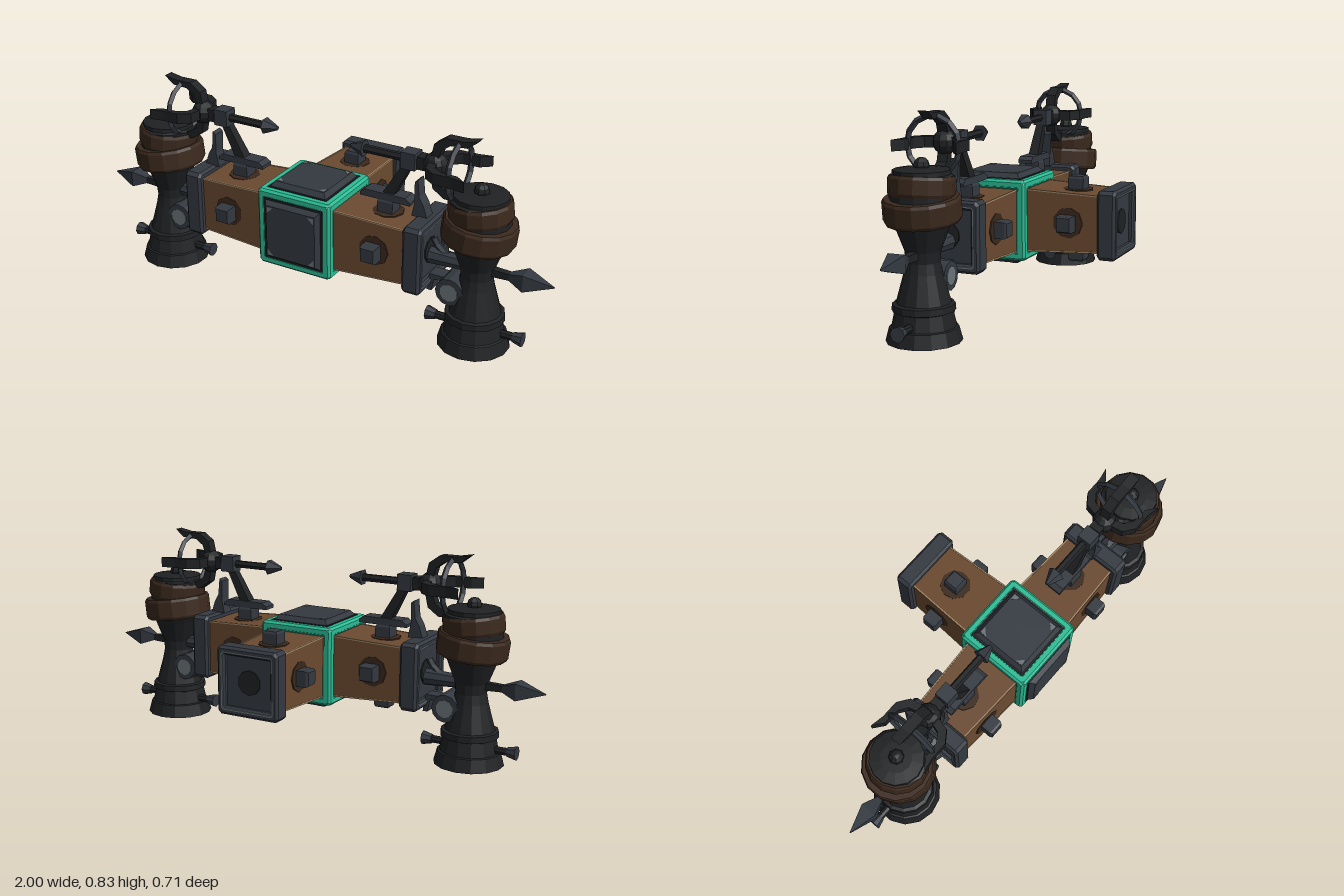
import * as THREE from 'three';

const mat = (name, color) => {
  const m = new THREE.MeshStandardMaterial({ color, flatShading: true });
  m.name = name;
  return m;
};
const wood = mat('wood', 0x6b4a30);
const darkWood = mat('dark wood', 0x3b291d);
const paleWood = mat('worn wood edge', 0xa58a68);
const iron = mat('black iron', 0x1f2123);
const slate = mat('slate metal', 0x343941);
const steel = mat('worn steel', 0x6b7478);
const teal = mat('teal paint', 0x2bbd95);

const V = (x, y, z) => new THREE.Vector3(x, y, z);

function add(parent, name, geo, material, x = 0, y = 0, z = 0) {
  const m = new THREE.Mesh(geo, material);
  m.name = name;
  m.position.set(x, y, z);
  parent.add(m);
  return m;
}

// Straight bar between two points, with its own radius at each end
function bar(parent, name, a, b, ra, rb, sides, material) {
  const g = new THREE.CylinderGeometry(rb, ra, a.distanceTo(b), sides);
  if (sides === 4) g.rotateY(Math.PI / 4);
  const m = add(parent, name, g, material);
  m.position.copy(a).lerp(b, 0.5);
  m.quaternion.setFromUnitVectors(V(0, 1, 0), b.clone().sub(a).normalize());
  return m;
}

// Square frustum along +z, from half size h0 at z0 to h1 at z1
function frustum(h0, h1, z0, z1) {
  const g = new THREE.CylinderGeometry(h1 * Math.SQRT2, h0 * Math.SQRT2, z1 - z0, 4);
  return g.rotateY(Math.PI / 4).rotateX(Math.PI / 2).translate(0, 0, (z0 + z1) / 2);
}

function square(h, c = 0) {
  const p = [[-h + c, -h], [h - c, -h], [h, -h + c], [h, h - c], [h - c, h], [-h + c, h], [-h, h - c], [-h, -h + c]];
  return p.map(([x, y]) => new THREE.Vector2(x, y));
}

// Square frame with a square hole and a chamfered rim, along +z
function frame(outer, inner, depth, bevel) {
  const s = new THREE.Shape(square(outer - bevel, 0.008));
  s.holes.push(new THREE.Path(square(inner + bevel, 0.004).reverse()));
  return new THREE.ExtrudeGeometry(s, {
    depth: depth - 2 * bevel, bevelEnabled: bevel > 0, bevelSize: bevel, bevelThickness: bevel, bevelSegments: 1,
  }).translate(0, 0, bevel);
}

// Slab cut from an outline in the xy plane, centred on z
function slab(points, depth) {
  const s = new THREE.Shape(points.map(([x, y]) => new THREE.Vector2(x, y)));
  return new THREE.ExtrudeGeometry(s, { depth, bevelEnabled: false }).translate(0, 0, -depth / 2);
}

const lathe = (pts, sides) => new THREE.LatheGeometry(pts.map(([r, y]) => new THREE.Vector2(r, y)), sides);

// Raised plate with worn corners on a face of the hub
function hubPlate() {
  const g = new THREE.Group();
  g.name = 'hubPlate';
  add(g, 'plateSeat', frustum(0.134, 0.13, 0.15, 0.163), iron);
  add(g, 'plate', frustum(0.125, 0.108, 0.16, 0.182), slate);
  for (let i = 0; i < 4; i++) {
    const c = add(g, 'plateCorner', slab([[0.104, 0.104], [0.076, 0.104], [0.104, 0.076]], 0.004), steel, 0, 0, 0.182);
    c.rotation.z = i * Math.PI / 2;
  }
  return g;
}

// Wooden arm along +z with pegs and an open metal end cap
function woodArm() {
  const g = new THREE.Group();
  g.name = 'arm';
  add(g, 'beam', frustum(0.126, 0.112, 0.13, 0.46), wood);
  for (let i = 0; i < 4; i++) {
    const side = new THREE.Group();
    side.name = 'beamSide';
    side.rotation.z = i * Math.PI / 2;
    g.add(side);
    bar(side, 'wornEdge', V(0.124, 0.124, 0.15), V(0.111, 0.111, 0.455), 0.004, 0.004, 4, paleWood);
    add(side, 'pegStain', new THREE.CylinderGeometry(0.062, 0.062, 0.008, 9), darkWood, 0, 0.1165, 0.327);
    add(side, 'pegBase', new THREE.BoxGeometry(0.064, 0.05, 0.064), slate, 0, 0.138, 0.327);
    const top = add(side, 'pegTop', frustum(0.032, 0.027, 0, 0.009), slate, 0, 0.163, 0.327);
    top.rotation.x = -Math.PI / 2;
  }
  add(g, 'capFrame', frame(0.137, 0.102, 0.075, 0.01), slate, 0, 0, 0.452);
  add(g, 'capRim', frame(0.116, 0.11, 0.004, 0), steel, 0, 0, 0.525);
  add(g, 'capPanel', new THREE.BoxGeometry(0.215, 0.215, 0.04), slate, 0, 0, 0.485);
  const socket = add(g, 'capSocket', new THREE.CylinderGeometry(0.05, 0.05, 0.008, 10), iron, 0, 0, 0.506);
  socket.rotation.x = Math.PI / 2;
  return g;
}

// Banded post standing at the end of a side arm
function post() {
  const g = new THREE.Group();
  g.name = 'post';
  g.position.x = 0.7;
  add(g, 'postBody', lathe([
    [0, 0.025], [0.08, 0.025], [0.09, 0], [0.14, 0], [0.126, 0.052], [0.118, 0.055], [0.106, 0.11],
    [0.116, 0.114], [0.114, 0.138], [0.1, 0.142], [0.07, 0.25], [0.062, 0.29], [0.066, 0.33], [0.1, 0.42],
    [0.118, 0.46], [0.115, 0.6], [0.105, 0.606], [0.104, 0.622], [0.06, 0.628], [0, 0.63],
  ], 14), iron);
  const band = (name, y, r, h, tilt) => {
    const geo = lathe([[r - 0.03, -h / 2], [r - 0.006, -h / 2], [r, -h / 2 + 0.012],
      [r, h / 2 - 0.012], [r - 0.006, h / 2], [r - 0.03, h / 2]], 14);
    add(g, name, geo, darkWood, 0, y, 0).rotation.z = tilt;
  };
  band('lowerBand', 0.482, 0.142, 0.09, -0.12);
  band('upperBand', 0.563, 0.122, 0.075, 0.1);
  add(g, 'topKnob', new THREE.SphereGeometry(0.03, 8, 6), iron, 0, 0.636, 0);
  for (const s of [-1, 1]) {
    bar(g, 'footPin', V(s * 0.09, 0.07, 0), V(s * 0.165, 0.07, 0), 0.016, 0.016, 8, iron);
    bar(g, 'footPinHead', V(s * 0.158, 0.07, 0), V(s * 0.197, 0.07, 0), 0.019, 0.029, 8, slate);
  }
  // Cross drum with a pale disc at each end
  bar(g, 'drum', V(-0.08, 0.225, -0.07), V(-0.08, 0.225, 0.07), 0.056, 0.056, 12, slate);
  bar(g, 'drumDisc', V(-0.08, 0.225, -0.073), V(-0.08, 0.225, 0.073), 0.036, 0.036, 10, steel);
  // Outer spike
  bar(g, 'spikeStem', V(0.05, 0.322, 0), V(0.14, 0.322, 0), 0.022, 0.018, 4, iron);
  bar(g, 'spikeRoot', V(0.12, 0.322, 0), V(0.19, 0.322, 0), 0.014, 0.048, 4, slate);
  bar(g, 'spikeTip', V(0.19, 0.322, 0), V(0.3, 0.322, 0), 0.048, 0.002, 4, slate);
  return g;
}

// Bolt thrower: rod, clawed hoop and leaning stand
function launcher() {
  const g = new THREE.Group();
  g.name = 'launcher';
  const y = 0.697;
  bar(g, 'rod', V(0.21, y, 0), V(0.5, y, 0), 0.016, 0.016, 6, iron);
  bar(g, 'rodTip', V(0.222, y, 0), V(0.163, y, 0), 0.034, 0.008, 6, slate);
  add(g, 'rodBlock', new THREE.BoxGeometry(0.06, 0.066, 0.06), slate, 0.415, y, 0);
  add(g, 'rodCollar', new THREE.BoxGeometry(0.03, 0.05, 0.05), iron, 0.465, y, 0);
  add(g, 'clawHub', new THREE.SphereGeometry(0.048, 10, 7), iron, 0.515, y, 0);
  const hoop = add(g, 'hoop', new THREE.TorusGeometry(0.106, 0.012, 4, 14), slate, 0.61, y, 0);
  hoop.rotation.y = Math.PI / 2;
  const claw = slab([[0.5, 0.02], [0.53, 0.02], [0.545, 0.07], [0.58, 0.094], [0.645, 0.098],
    [0.685, 0.13], [0.63, 0.12], [0.56, 0.12], [0.515, 0.088]], 0.042);
  for (let i = 0; i < 4; i++) add(g, 'claw', claw, iron, 0, y, 0).rotation.x = i * Math.PI / 2;
  bar(g, 'standLeg', V(0.33, 0.535, 0), V(0.41, 0.68, 0), 0.03, 0.022, 4, iron);
  add(g, 'standFoot', slab([[0.22, 0.518], [0.43, 0.518], [0.43, 0.53], [0.41, 0.546], [0.24, 0.546], [0.22, 0.532]], 0.06), slate);
  return g;
}

// Everything carried on one side arm, facing +x
function sideGear() {
  const g = new THREE.Group();
  g.name = 'sideGear';
  g.add(post(), launcher());
  add(g, 'capFin', slab([[0.435, 0.48], [0.5, 0.48], [0.483, 0.53], [0.465, 0.56], [0.458, 0.63], [0.445, 0.62], [0.447, 0.54]], 0.05), slate);
  add(g, 'capHook', slab([[0.51, 0.19], [0.53, 0.19], [0.54, 0.24], [0.63, 0.24], [0.63, 0.26], [0.52, 0.26]], 0.06), slate);
  bar(g, 'postJoint', V(0.48, 0.325, 0), V(0.68, 0.325, 0), 0.036, 0.026, 8, slate);
  const curve = new THREE.QuadraticBezierCurve3(V(0.52, 0.4, 0), V(0.55, 0.33, 0), V(0.65, 0.33, 0));
  add(g, 'curvedBrace', new THREE.TubeGeometry(curve, 5, 0.014, 5), slate);
  return g;
}

export function createModel() {
  const model = new THREE.Group();
  model.name = 'siegeFrame';
  const cy = 0.347, cz = 0.172;

  // Hub: dark core, teal edge frames, plates on the free faces
  const hub = new THREE.Group();
  hub.name = 'hub';
  hub.position.set(0, cy, cz);
  model.add(hub);
  add(hub, 'hubCore', new THREE.BoxGeometry(0.3, 0.3, 0.3), iron);
  const turns = [[0, 0], [-Math.PI / 2, 0], [Math.PI / 2, 0], [0, Math.PI / 2], [0, -Math.PI / 2], [0, Math.PI]];
  turns.forEach(([rx, ry], i) => {
    const f = add(hub, 'hubFrame', frame(0.16, 0.126, 0.04, 0.008), teal);
    f.geometry.translate(0, 0, 0.121);
    f.rotation.set(rx, ry, 0);
    const part = i < 3 ? hubPlate() : woodArm();
    part.rotation.set(rx, ry, 0);
    hub.add(part);
  });

  // Matching gear on both side arms
  for (const turn of [0, Math.PI]) {
    const gear = sideGear();
    gear.name = turn ? 'rightGear' : 'leftGear';
    gear.position.z = cz;
    gear.rotation.y = turn;
    model.add(gear);
  }
  return model;
}
